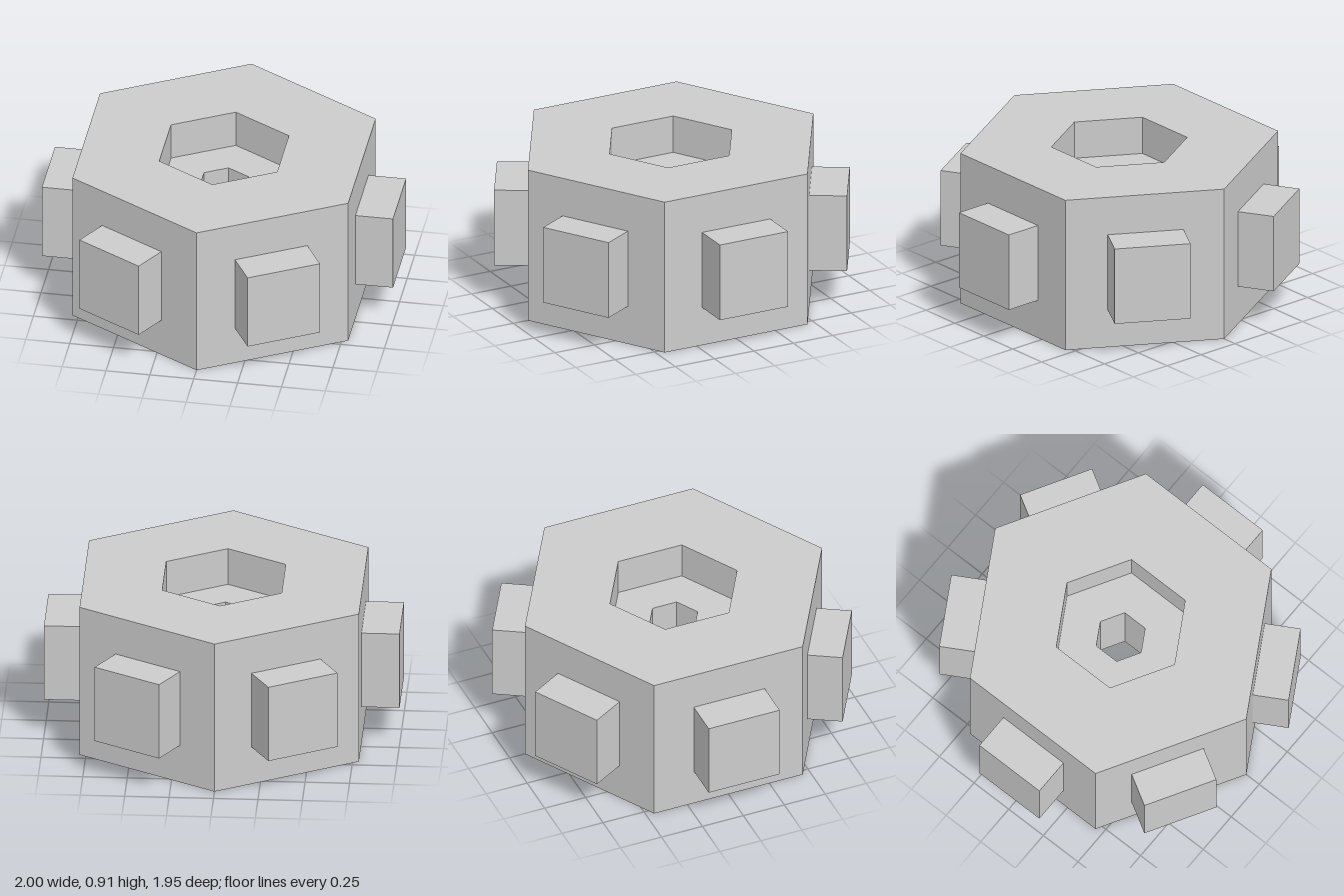
import * as THREE from 'three';

const HEIGHT = 0.91, OUTER = 0.907, SOCKET = 0.388, BORE = 0.147, DEPTH = 0.22;

export function createModel() {
  const group = new THREE.Group();
  const material = new THREE.MeshStandardMaterial({ color: 0xcccccc, flatShading: true });

  // Hexagonal ring: socket recessed from both ends, joined by a narrow bore
  const profile = [
    [BORE, DEPTH], [SOCKET, DEPTH], [SOCKET, 0], [OUTER, 0],
    [OUTER, HEIGHT], [SOCKET, HEIGHT], [SOCKET, HEIGHT - DEPTH], [BORE, HEIGHT - DEPTH],
    [BORE, DEPTH],
  ].map(([r, y]) => new THREE.Vector2(r, y));
  const body = new THREE.Mesh(new THREE.LatheGeometry(profile, 6), material);
  body.name = 'hexagonalBody';
  group.add(body);

  // One square lug on each side face: [outer distance, sideways shift]
  const lugs = [[0.99, -0.007], [1, 0], [0.999, 0.005], [0.998, -0.005], [1, 0.005], [0.985, -0.02]];
  const inner = 0.74;
  lugs.forEach(([reach, shift], i) => {
    const pivot = new THREE.Group();
    pivot.name = 'sideLug' + (i + 1);
    pivot.rotation.y = Math.PI / 6 + (i * Math.PI) / 3;
    const lug = new THREE.Mesh(new THREE.BoxGeometry(0.433, 0.455, reach - inner), material);
    lug.name = 'lugBlock';
    lug.position.set(shift, HEIGHT / 2, (reach + inner) / 2);
    pivot.add(lug);
    group.add(pivot);
  });

  return group;
}
